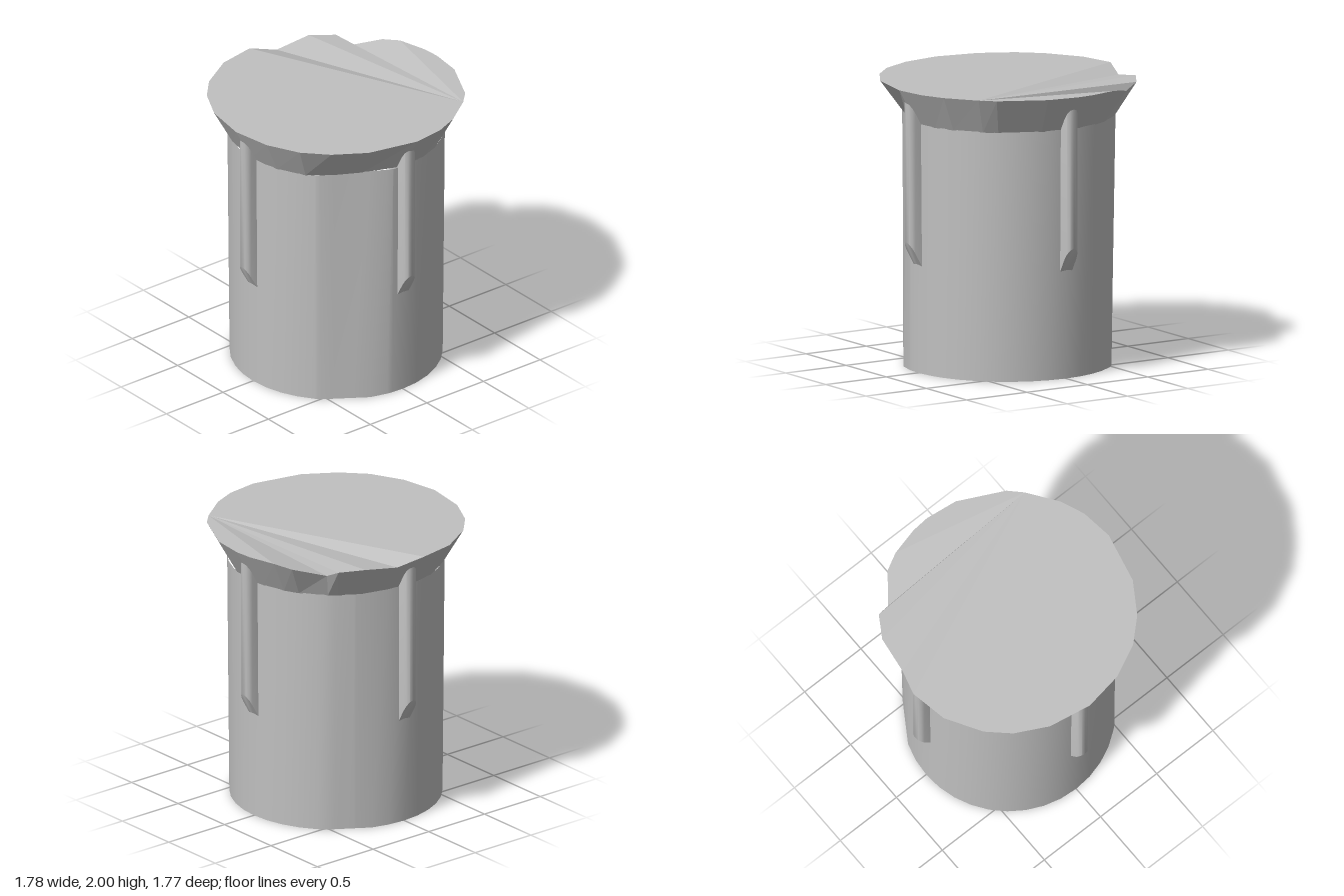
import * as THREE from 'three';
import { toCreasedNormals } from 'three/addons/utils/BufferGeometryUtils.js';

const rad = THREE.MathUtils.degToRad;

// Radius of the round body at an angle (degrees from +z towards +x), cut flat along some chords
function radiusAt(deg, radius, chords) {
  for (const [start, end] of chords) {
    if (deg > start && deg < end) {
      const half = (end - start) / 2;
      return radius * Math.cos(rad(half)) / Math.cos(rad(deg - start - half));
    }
  }
  return radius;
}

const TOP = { radius: 0.75, chords: [[41, 83], [241, 270]] };
const BOTTOM = { radius: 0.735, chords: [[43, 70], [225, 250]] };
const ringPoint = (deg, ring, y) => {
  const r = radiusAt(deg, ring.radius, ring.chords);
  return [r * Math.sin(rad(deg)), y, r * Math.cos(rad(deg))];
};

// Joins two rings with walls; each end may be closed with a fan from its first corner
function loft(lower, upper, capBottom, capTop) {
  const n = lower.length;
  const index = [];
  for (let i = 0; i < n; i++) {
    const j = (i + 1) % n;
    index.push(i, j, n + j, i, n + j, n + i);
  }
  for (let i = 1; i < n - 1; i++) {
    if (capBottom) index.push(0, i + 1, i);
    if (capTop) index.push(n, n + i, n + i + 1);
  }
  const geometry = new THREE.BufferGeometry();
  geometry.setAttribute('position', new THREE.Float32BufferAttribute([...lower, ...upper].flat(), 3));
  geometry.setIndex(index);
  return geometry;
}

// Upright rib with a rounded face, rounded top and slanted foot
function ribGeometry() {
  const section = [[-0.05, 0.65], [-0.05, 0.79], [-0.044, 0.812], [-0.025, 0.83], [0, 0.837],
    [0.025, 0.83], [0.044, 0.812], [0.05, 0.79], [0.05, 0.65]];
  const shape = new THREE.Shape(section.map(([w, r]) => new THREE.Vector2(w, -r)));
  const geometry = new THREE.ExtrudeGeometry(shape, { depth: 1, bevelEnabled: false });
  geometry.rotateX(-Math.PI / 2);
  const p = geometry.attributes.position;
  for (let i = 0; i < p.count; i++) {
    const w = p.getX(i), r = p.getZ(i);
    const y = p.getY(i) > 0.5
      ? 1.87 + Math.sqrt(Math.max(0, 0.0025 - w * w))
      : 0.93 - (0.837 - r) * 1.75;
    p.setY(i, y);
  }
  return toCreasedNormals(geometry, rad(40));
}

export function createModel() {
  const model = new THREE.Group();
  const grey = new THREE.MeshStandardMaterial({ color: 0xc0c0c0 });
  grey.name = 'plain grey';
  const add = (name, geometry) => {
    const mesh = new THREE.Mesh(geometry, grey);
    mesh.name = name;
    model.add(mesh);
    return mesh;
  };

  // Body: slightly tapered cylinder with flattened sides
  const angles = [];
  for (let a = 0; a < 360; a += 10) angles.push(a);
  angles.push(41, 43, 83, 225, 241);
  angles.sort((a, b) => a - b);
  const body = loft(
    angles.map((a) => ringPoint(a, BOTTOM, 0)),
    angles.map((a) => ringPoint(a, TOP, 1.755)),
    true, false
  );
  add('body', toCreasedNormals(body, rad(24)));

  // Flared head: uneven rim (x, z, y), with a shallow dent on one side of the top
  const rim = [
    [0.64, -0.61, 2], [0.55, -0.7, 2], [0.23, -0.86, 2], [0, -0.89, 2], [-0.13, -0.88, 2],
    [-0.33, -0.83, 2], [-0.45, -0.77, 1.98], [-0.6, -0.58, 1.93], [-0.7, -0.56, 1.98],
    [-0.8, -0.4, 1.99], [-0.83, -0.14, 1.95], [-0.89, 0.05, 2], [-0.84, 0.32, 2],
    [-0.69, 0.57, 2], [-0.54, 0.71, 2], [-0.31, 0.83, 2], [0, 0.885, 2], [0.28, 0.84, 2],
    [0.51, 0.73, 2], [0.67, 0.58, 2], [0.81, 0.36, 2], [0.89, 0, 2], [0.86, -0.23, 2], [0.79, -0.4, 2]
  ];
  const neck = rim.map(([x, z]) => {
    const deg = (THREE.MathUtils.radToDeg(Math.atan2(x, z)) + 360) % 360;
    return ringPoint(deg, TOP, 1.75);
  });
  const head = loft(neck, rim.map(([x, z, y]) => [x, y, z]), false, true).toNonIndexed();
  head.computeVertexNormals();
  add('flaredHead', head);

  // Four ribs, a quarter turn apart
  const rib = ribGeometry();
  ['frontRib', 'leftRib', 'backRib', 'rightRib'].forEach((name, i) => {
    add(name, rib).rotation.y = i * Math.PI / 2;
  });

  return model;
}
